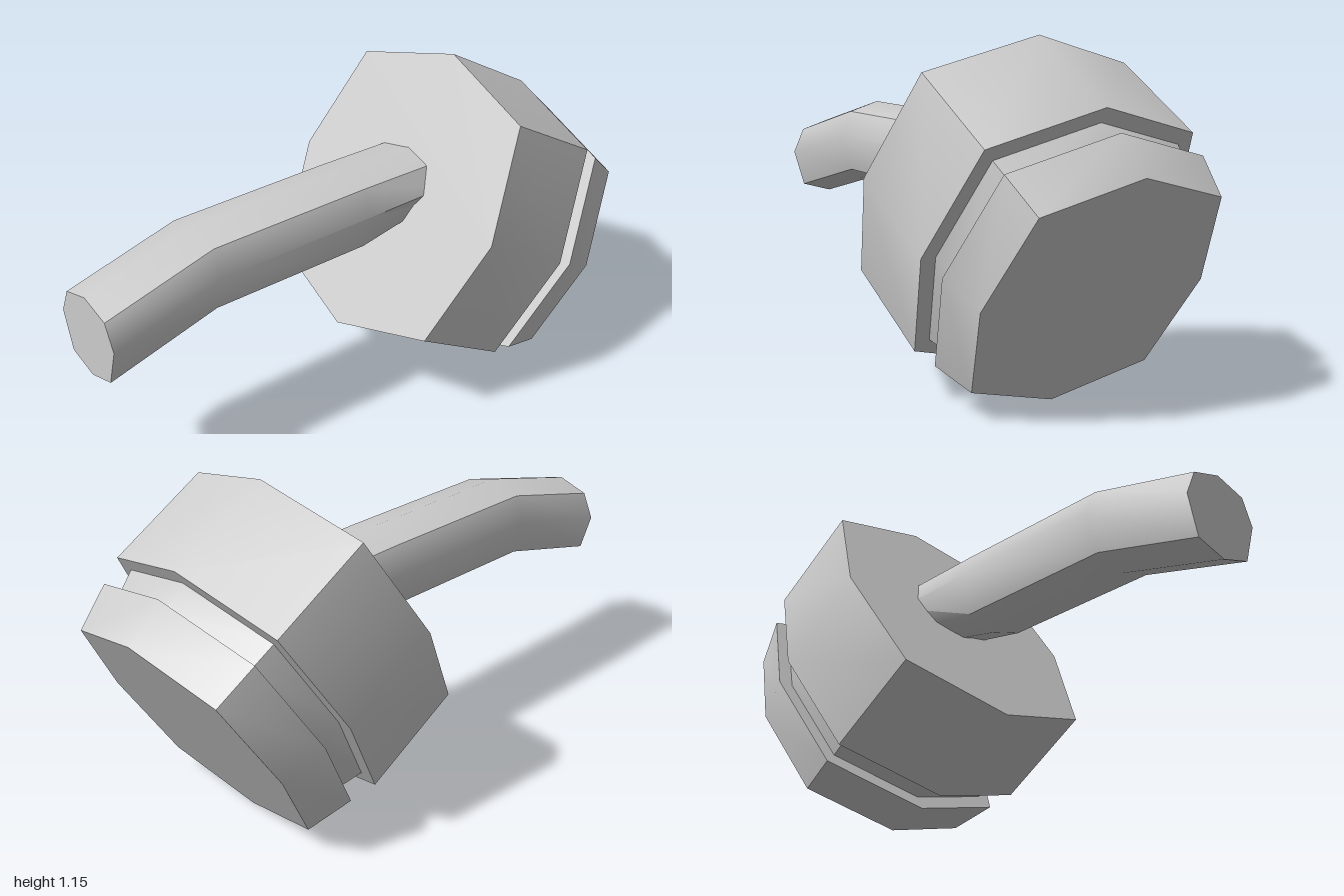
import * as THREE from 'three';
import { toCreasedNormals } from 'three/addons/utils/BufferGeometryUtils.js';

// Closed solid through rings of equal point count, ordered front (+z) to back,
// each ring counterclockwise as seen from the front.
function loft(name, rings) {
  const n = rings[0].length;
  const index = [];
  for (let r = 0; r < rings.length - 1; r++) {
    for (let i = 0; i < n; i++) {
      const j = (i + 1) % n;
      const a = r * n + i, b = r * n + j, c = a + n, d = b + n;
      index.push(a, c, b, b, c, d);
    }
  }
  const last = (rings.length - 1) * n;
  for (let i = 1; i < n - 1; i++) {
    index.push(0, i, i + 1, last, last + i + 1, last + i);
  }
  const geometry = new THREE.BufferGeometry();
  geometry.setAttribute('position', new THREE.Float32BufferAttribute(rings.flat(2), 3));
  geometry.setIndex(index);
  const mesh = new THREE.Mesh(
    toCreasedNormals(geometry, 0.77),
    new THREE.MeshStandardMaterial({ color: 0xcccccc })
  );
  mesh.name = name;
  return mesh;
}

// Eight-sided head section, slightly taller than wide
function headRing(z, s) {
  const p = [[0.485, 0], [0.391, 0.392], [0, 0.513], [-0.391, 0.392],
    [-0.485, 0], [-0.391, -0.392], [0, -0.513], [0.391, -0.392]];
  return p.map(([x, y]) => [x * s, y * s, z]);
}

// Eight-sided handle section with its side corners at their own height
function handleRing(z, y, ry, sideY) {
  const rx = 0.153, k = 0.735, v = 0.77;
  const p = [[rx, sideY], [rx * k, ry * v], [0, ry], [-rx * k, ry * v],
    [-rx, sideY], [-rx * k, -ry * v], [0, -ry], [rx * k, -ry * v]];
  return p.map(([px, py]) => [px - 0.022, y + py, z]);
}

export function createModel() {
  const model = new THREE.Group();
  model.name = 'mallet';

  // Tilted head: main block, recessed neck, tapered cap
  const head = new THREE.Group();
  head.name = 'head';
  head.add(
    loft('headBlock', [headRing(0, 1), headRing(-0.396, 1)]),
    loft('headNeck', [headRing(-0.39, 0.897), headRing(-0.492, 0.84)]),
    loft('headCap', [headRing(-0.488, 0.95), headRing(-0.649, 0.865)])
  );
  head.position.set(0, 0.71, -0.215);
  head.rotation.x = -Math.PI / 6;
  model.add(head);

  // Bent handle, narrowing where it enters the head
  model.add(loft('handle', [
    handleRing(1, 0.613, 0.143, 0.022),
    handleRing(0.6, 0.719, 0.142, 0.021),
    handleRing(0, 0.719, 0.142, 0.021),
    handleRing(-0.34, 0.747, 0.097, -0.007)
  ]));

  return model;
}
